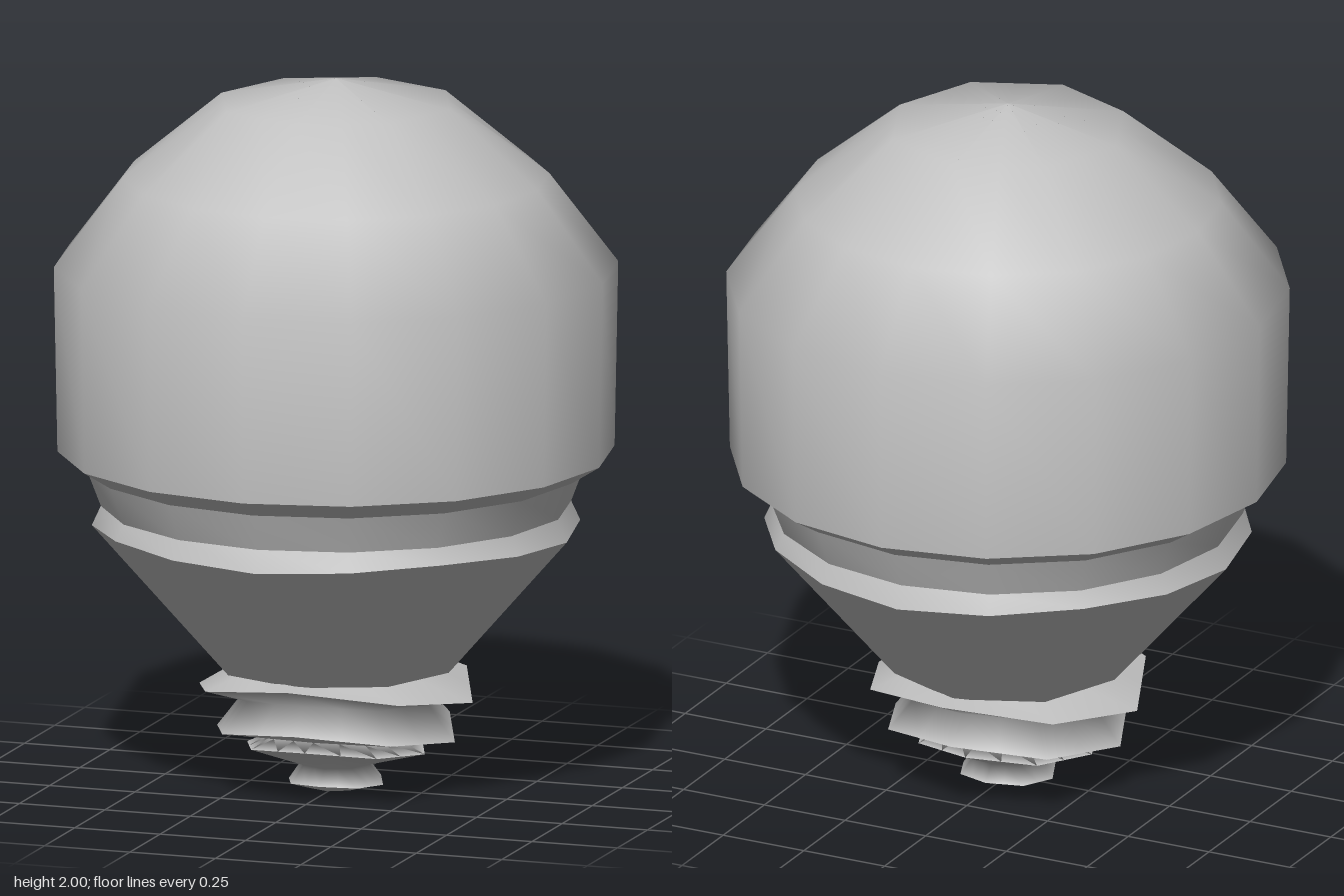
import * as THREE from 'three';

const SIDES = 16;

// One ring of 16 points. oct: only 8 real corners, the rest lie on the straight edges.
// saddle dips the ring at +-x and lifts it at +-z; wave lifts it at the diagonals.
function ringPoints({ r, y, oct = false, saddle = 0, wave = 0 }) {
  const corner = (i) => {
    const t = (i / SIDES) * Math.PI * 2;
    return new THREE.Vector3(
      r * Math.cos(t),
      y - saddle * Math.cos(2 * t) - wave * Math.cos(4 * t),
      r * Math.sin(t)
    );
  };
  const points = [];
  for (let i = 0; i < SIDES; i++) {
    points.push(oct && i % 2 ? corner(i - 1).add(corner(i + 1)).multiplyScalar(0.5) : corner(i));
  }
  return points;
}

// Smooth skin through rings listed from top to bottom
function loft(rings) {
  const positions = [];
  const index = [];
  rings.forEach((ring) => ringPoints(ring).forEach((p) => positions.push(p.x, p.y, p.z)));
  for (let k = 0; k < rings.length - 1; k++) {
    for (let i = 0; i < SIDES; i++) {
      const j = (i + 1) % SIDES;
      const a = k * SIDES + i, b = k * SIDES + j;
      const c = a + SIDES, d = b + SIDES;
      if (rings[k].r > 0.001) index.push(a, b, c);
      if (rings[k + 1].r > 0.001) index.push(b, d, c);
    }
  }
  const geometry = new THREE.BufferGeometry();
  geometry.setAttribute('position', new THREE.Float32BufferAttribute(positions, 3));
  geometry.setIndex(index);
  geometry.computeVertexNormals();
  return geometry;
}

export function createModel() {
  const model = new THREE.Group();
  model.name = 'bulb';
  const grey = new THREE.MeshStandardMaterial({ color: 0xc0c0c0, side: THREE.DoubleSide });
  grey.name = 'plain grey';

  const add = (name, rings) => {
    const mesh = new THREE.Mesh(loft(rings), grey);
    mesh.name = name;
    model.add(mesh);
  };

  // Rings shared by neighbouring parts, so hard edges stay sharp
  const rim = { r: 0.77, y: 0.955 };
  const neckTop = { r: 0.69, y: 0.905 };
  const neckBottom = { r: 0.65, y: 0.8 };
  const collar = { r: 0.675, y: 0.746, wave: 0.009 };
  const coneBottom = { r: 0.33, y: 0.345, oct: true };

  // Rounded bulb
  add('dome', [
    { r: 0.0001, y: 2 },
    { r: 0.335, y: 1.935, oct: true },
    { r: 0.59, y: 1.725 },
    { r: 0.78, y: 1.475 },
    rim,
  ]);
  add('domeUnderside', [rim, neckTop]);

  // Neck, collar and tapering socket
  add('neck', [neckTop, neckBottom]);
  add('collar', [neckBottom, collar]);
  add('socketCone', [collar, coneBottom]);
  add('socketBase', [coneBottom, { r: 0.25, y: 0.357, oct: true }]);

  // Screw thread: sharp wavy ridges with smooth grooves between them
  const ridges = [
    { r: 0.4, y: 0.305, saddle: 0.04, oct: true },
    { r: 0.348, y: 0.18, saddle: 0.03, oct: true },
    { r: 0.26, y: 0.128, saddle: 0.018, oct: true },
    { r: 0.138, y: 0.021, saddle: 0.006, oct: true },
  ];
  const grooves = [
    { r: 0.25, y: 0.357, oct: true },
    { r: 0.27, y: 0.265, saddle: 0.015, oct: true },
    { r: 0.19, y: 0.152, saddle: 0.01, oct: true },
    { r: 0.1, y: 0.07, oct: true },
  ];
  ridges.forEach((ridge, i) => {
    add('thread' + (i + 1), i ? [ridges[i - 1], grooves[i], ridge] : [grooves[0], ridge]);
  });

  // Rounded contact at the foot
  add('contact', [ridges[3], { r: 0.085, y: 0.005, oct: true }, { r: 0.0001, y: 0 }]);

  return model;
}
